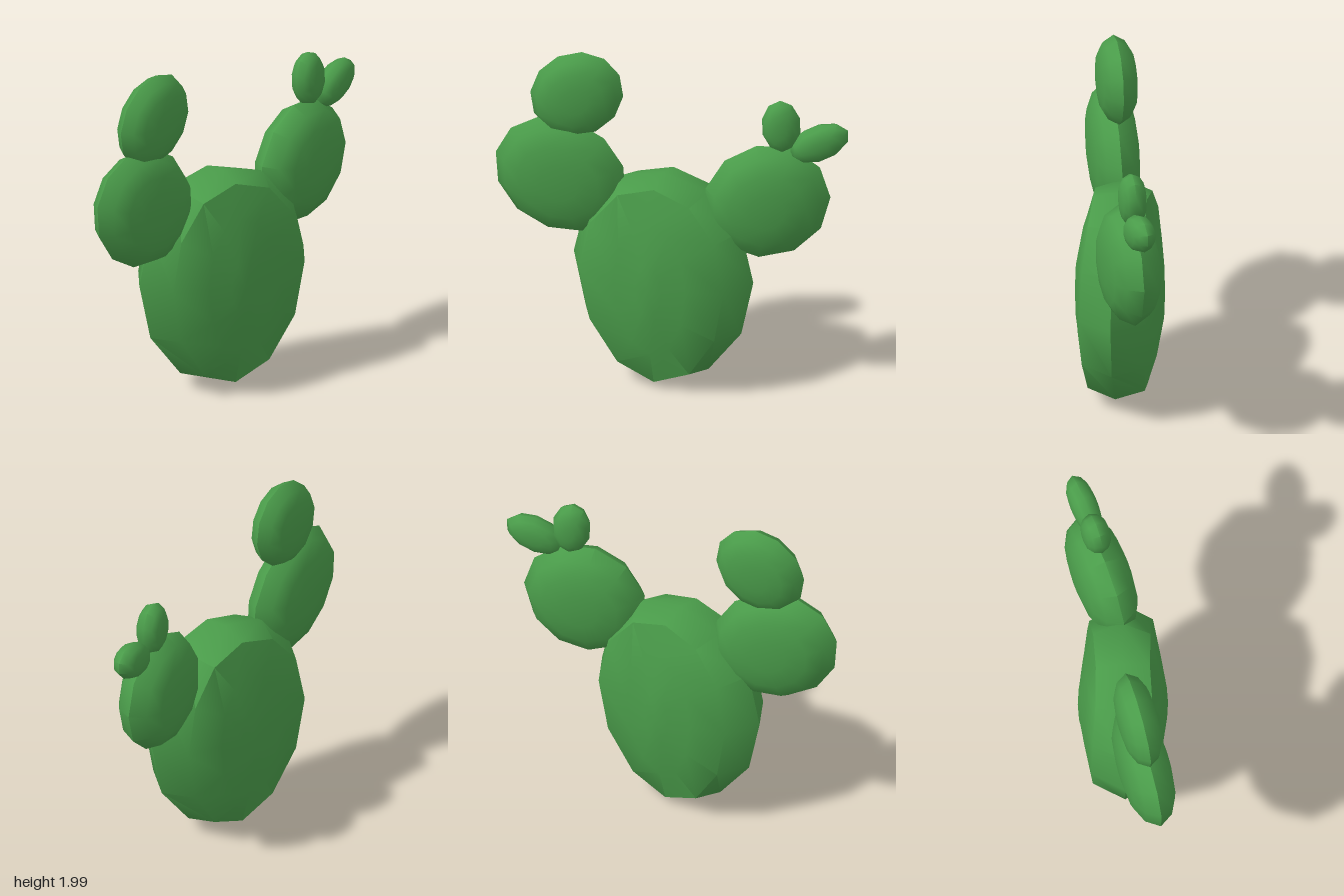
import * as THREE from 'three';
import { toCreasedNormals } from 'three/addons/utils/BufferGeometryUtils.js';

// Domed layers from rim to crown:
// [scale along, scale across, depth at the ends, depth at the sides]
const TRUNK = [[0.94, 0.8, 0.6, 0.74], [0.63, 0.4, 0.82, 0.88], [0.25, 0.15, 0.98, 0.96]];
const LENS = [[0.86, 0.86, 0.56, 0.56], [0.62, 0.62, 0.86, 0.86], [0.3, 0.3, 0.98, 0.98]];

// Cushion-shaped pad: a low-sided oval, its long axis turned by `angle`
// degrees, on a plane that recedes by dz/dx = slope. `raise` lifts the widest part.
function padGeometry({ center, long, short, angle, sides, half, slope, raise = 0, layers = LENS }) {
  const [cx, cy, cz] = center;
  const turn = THREE.MathUtils.degToRad(angle);
  const normal = new THREE.Vector3(-slope, 0, 1).normalize();
  const positions = [], index = [];
  const addPoint = (t, along, across, endDepth, sideDepth) => {
    const side = Math.sin(t) ** 2;
    const u = (Math.cos(t) * long + raise * side) * along;
    const v = Math.sin(t) * short * across;
    const depth = THREE.MathUtils.lerp(endDepth, sideDepth, side) * half;
    const dx = u * Math.cos(turn) - v * Math.sin(turn);
    const dy = u * Math.sin(turn) + v * Math.cos(turn);
    positions.push(
      cx + dx + normal.x * depth,
      cy + dy,
      cz + dx * slope + normal.z * depth
    );
  };

  // Rings run from the back crown, over the rim, to the front crown
  const rings = [
    ...layers.map(([a, b, e, s]) => [a, b, -e, -s]).reverse(),
    [1, 1, 0, 0],
    ...layers
  ];
  for (const ring of rings) {
    for (let i = 0; i < sides; i++) addPoint((i / sides) * Math.PI * 2, ...ring);
  }
  addPoint(0, 0, 0, -1, -1);
  addPoint(0, 0, 0, 1, 1);

  const back = rings.length * sides, front = back + 1, last = back - sides;
  for (let i = 0; i < sides; i++) {
    const j = (i + 1) % sides;
    for (let row = 0; row < last; row += sides) {
      const a = row + i, b = row + j, c = b + sides, d = a + sides;
      index.push(a, b, c, a, c, d);
    }
    index.push(back, j, i, front, last + i, last + j);
  }
  const geometry = new THREE.BufferGeometry();
  geometry.setAttribute('position', new THREE.Float32BufferAttribute(positions, 3));
  geometry.setIndex(index);
  return toCreasedNormals(geometry, 1);
}

const PADS = [
  { name: 'trunkPad', center: [-0.04, 0.655, 0.02], long: 0.645, short: 0.54,
    angle: 90, sides: 12, half: 0.253, slope: 0, raise: 0.05, layers: TRUNK },
  { name: 'rightArmPad', center: [-0.62, 1.23, 0.12], long: 0.385, short: 0.335,
    angle: 135, sides: 12, half: 0.14, slope: -0.26 },
  { name: 'rightTopPad', center: [-0.535, 1.735, 0.09], long: 0.275, short: 0.245,
    angle: 57, sides: 12, half: 0.11, slope: -0.27 },
  { name: 'leftArmPad', center: [0.54, 1.18, -0.085], long: 0.36, short: 0.33,
    angle: 68, sides: 11, half: 0.155, slope: -0.37 },
  { name: 'leftUprightBud', center: [0.615, 1.65, -0.115], long: 0.162, short: 0.105,
    angle: 92, sides: 10, half: 0.076, slope: -0.36 },
  { name: 'leftSidewaysBud', center: [0.82, 1.555, -0.175], long: 0.168, short: 0.105,
    angle: 27, sides: 10, half: 0.074, slope: -0.42 }
];

export function createModel() {
  const cactus = new THREE.Group();
  cactus.name = 'cactus';
  const green = new THREE.MeshStandardMaterial({ color: 0x4a9c4a });
  green.name = 'cactusGreen';
  for (const shape of PADS) {
    const pad = new THREE.Mesh(padGeometry(shape), green);
    pad.name = shape.name;
    cactus.add(pad);
  }
  return cactus;
}
